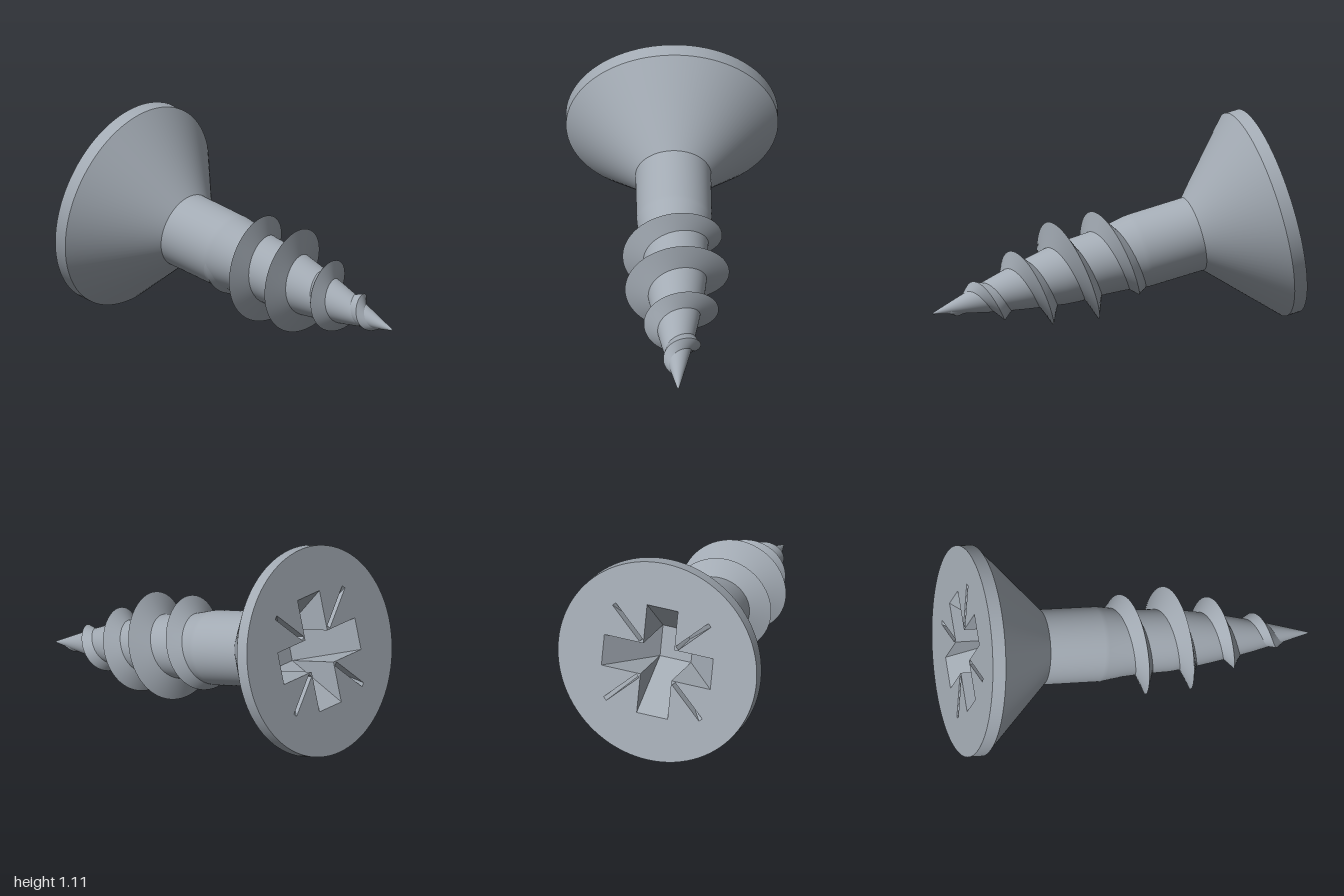
import * as THREE from 'three';

// Piecewise linear lookup in [t, value] pairs
function lookup(table, t) {
  for (let i = 1; i < table.length; i++) {
    const [t0, v0] = table[i - 1], [t1, v1] = table[i];
    if (t <= t1) return v0 + (v1 - v0) * Math.max(0, (t - t0) / (t1 - t0));
  }
  return table[table.length - 1][1];
}

// Core and thread crest radii by distance from the head face
const CORE = [[0.43, 0.201], [0.735, 0.2], [0.76, 0.198], [0.874, 0.181], [0.98, 0.172], [1.13, 0.167],
  [1.21, 0.159], [1.38, 0.13], [1.47, 0.113], [1.615, 0.082], [1.78, 0.04], [1.915, 0.004]];
const CREST = [[0.739, 0.196], [0.77, 0.208], [0.813, 0.226], [0.859, 0.251], [0.924, 0.271], [0.988, 0.279],
  [1.061, 0.284], [1.172, 0.288], [1.234, 0.27], [1.304, 0.245], [1.423, 0.198],
  [1.543, 0.148], [1.665, 0.103], [1.714, 0.079], [1.79, 0.052], [1.85, 0.015]];
const PITCH = 0.247, TOP_CREST = 0.924;

function lathe(points) {
  const profile = points.map(([r, t]) => new THREE.Vector2(r, -t)).reverse();
  return new THREE.LatheGeometry(profile, 96);
}

// Smooth ribbon between two rows of points
function strip(p, q) {
  const index = [], n = p.length;
  for (let i = 0; i < n - 1; i++) index.push(i, i + 1, n + i, n + i, i + 1, n + i + 1);
  const g = new THREE.BufferGeometry().setFromPoints([...p, ...q]);
  g.setIndex(index);
  g.computeVertexNormals();
  return g;
}

// Slot with a floor sloping down from its outer end to its inner end
function slot(half, outer, inner, depth, closed) {
  const v = (x, y, z) => new THREE.Vector3(x, y, z);
  const a = v(outer, 0, half), b = v(outer, 0, -half);
  const c = v(inner, -depth, -half), d = v(inner, -depth, half);
  const e = v(inner, 0, -half), f = v(inner, 0, half);
  const points = [a, b, c, a, c, d, b, e, c, a, d, f];
  if (closed) points.push(e, f, d, e, d, c);
  const g = new THREE.BufferGeometry().setFromPoints(points);
  g.computeVertexNormals();
  return g;
}

export function createModel() {
  const steel = new THREE.MeshStandardMaterial({ color: 0xa3abb4, side: THREE.DoubleSide });
  const model = new THREE.Group();
  model.name = 'screw';
  const add = (name, geometry) => {
    const mesh = new THREE.Mesh(geometry, steel);
    mesh.name = name;
    model.add(mesh);
    return mesh;
  };

  // Head, shank and tapered core (local +Y points out of the head)
  const R = 0.563;
  add('headRim', lathe([[R, 0], [R, 0.072]]));
  add('headCone', lathe([[R, 0.072], [0.201, 0.43]]));
  add('shank', lathe(CORE.map(([t, r]) => [r, t])));

  // Head face with openings for the cross recess and diagonal slits
  const W = 0.088, L = 0.31, S = 0.012, S0 = 0.145, S1 = 0.385, DEPTH = 0.3;
  const face = new THREE.Shape().absarc(0, 0, R, 0, Math.PI * 2);
  const turned = (pts, angle) => pts.map(([x, y]) =>
    new THREE.Vector2(x, y).rotateAround(new THREE.Vector2(), angle));
  const cross = [];
  for (let i = 0; i < 4; i++) {
    const angle = i * Math.PI / 2;
    cross.push(...turned([[L, -W], [L, W], [W, W]], angle));
    face.holes.push(new THREE.Path(
      turned([[S0, -S], [S1, -S], [S1, S], [S0, S]], angle + Math.PI / 4)));
    add('recessArm', slot(W, L, W, DEPTH, false)).rotation.y = angle;
    add('recessSlit', slot(S, S1, S0, 0.18, true)).rotation.y = angle + Math.PI / 4;
  }
  face.holes.push(new THREE.Path(cross));
  add('headFace', new THREE.ShapeGeometry(face, 48).rotateX(-Math.PI / 2));
  add('recessFloor', new THREE.PlaneGeometry(2 * W, 2 * W).rotateX(-Math.PI / 2)).position.y = -DEPTH;

  // Right-handed helical thread with a sharp crest
  const headSide = [], crest = [], tipSide = [];
  const STEPS = 420, T0 = 0.739, T1 = 1.85;
  for (let i = 0; i <= STEPS; i++) {
    const t = T0 + (T1 - T0) * i / STEPS;
    const a = (t - TOP_CREST) / PITCH * Math.PI * 2;
    const at = (r, s) => new THREE.Vector3(r * Math.cos(a), -s, r * Math.sin(a));
    const base = s => at(Math.max(0.002, lookup(CORE, s) - 0.004), s);
    headSide.push(base(t - 0.055));
    crest.push(at(lookup(CREST, t), t));
    tipSide.push(base(t + 0.045));
  }
  add('threadHeadSide', strip(headSide, crest));
  add('threadTipSide', strip(crest, tipSide));

  // Lay the screw on its tilted axis
  const axis = new THREE.Vector3(0.948, -0.2486, 0.197).normalize();
  const up = new THREE.Vector3(0, 1, 0).addScaledVector(axis, -axis.y).normalize();
  const out = axis.clone().negate();
  const side = new THREE.Vector3().crossVectors(up, out);
  model.quaternion.setFromRotationMatrix(new THREE.Matrix4().makeBasis(up, out, side));
  model.position.set(-0.821, 0.567, -0.003);

  const group = new THREE.Group();
  group.name = 'countersunkScrew';
  group.add(model);
  return group;
}
